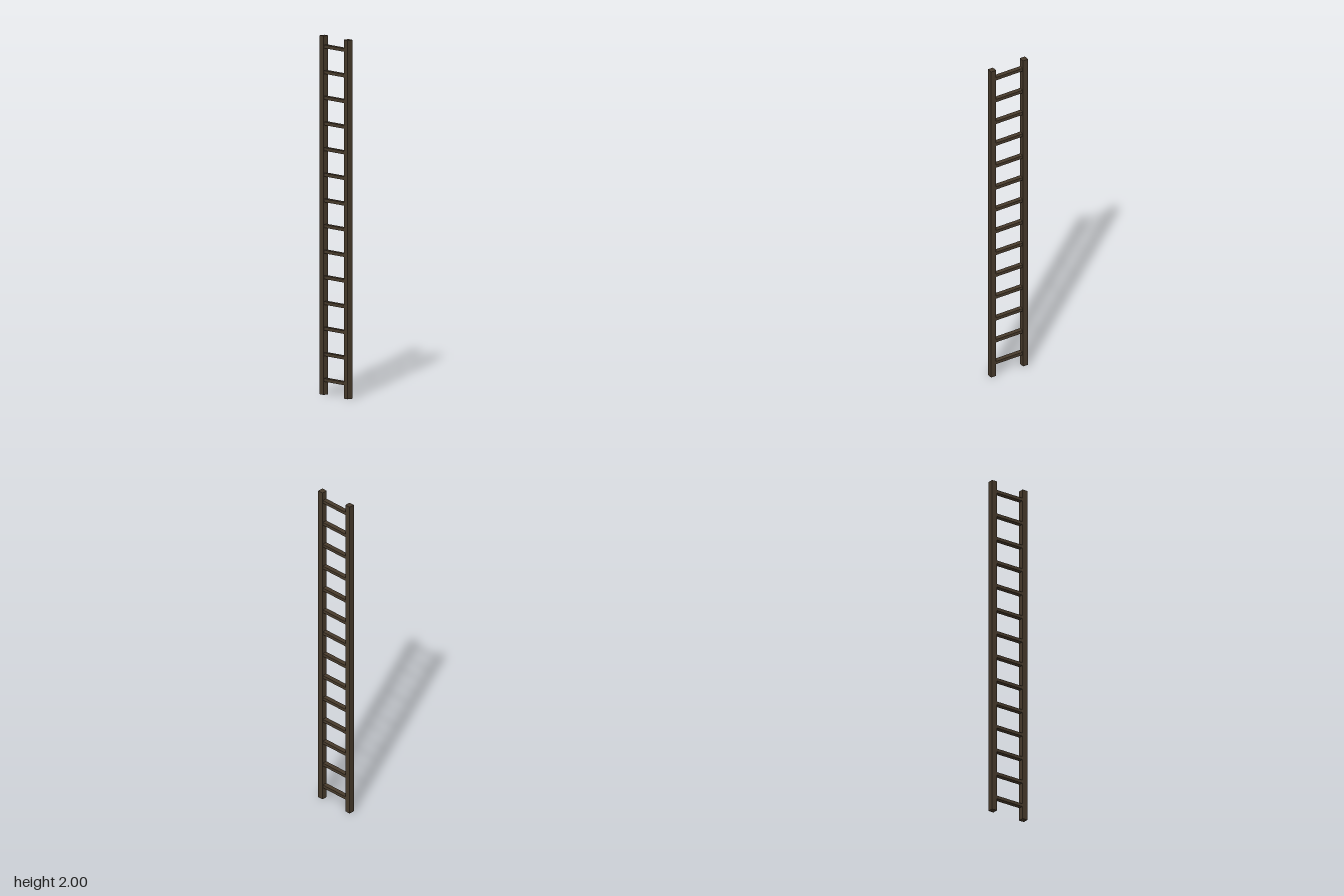
import * as THREE from 'three';

export function createModel() {
  const ladder = new THREE.Group();
  ladder.name = 'ladder';
  const wood = new THREE.MeshStandardMaterial({ color: 0x483b2c });
  wood.name = 'dark wood';

  const addBox = (name, w, h, d, y, z) => {
    const mesh = new THREE.Mesh(new THREE.BoxGeometry(w, h, d), wood);
    mesh.name = name;
    mesh.position.set(0, y, z);
    ladder.add(mesh);
  };

  // Two upright rails
  addBox('frontRail', 0.033, 2, 0.033, 1, 0.1045);
  addBox('backRail', 0.033, 2, 0.033, 1, -0.1045);

  // Evenly spaced flat rungs, butted against the rails
  const rungs = 14, firstY = 0.083, lastY = 1.941;
  for (let i = 0; i < rungs; i++) {
    const y = firstY + (lastY - firstY) * i / (rungs - 1);
    addBox(`rung${i + 1}`, 0.027, 0.018, 0.178, y, 0);
  }
  return ladder;
}
